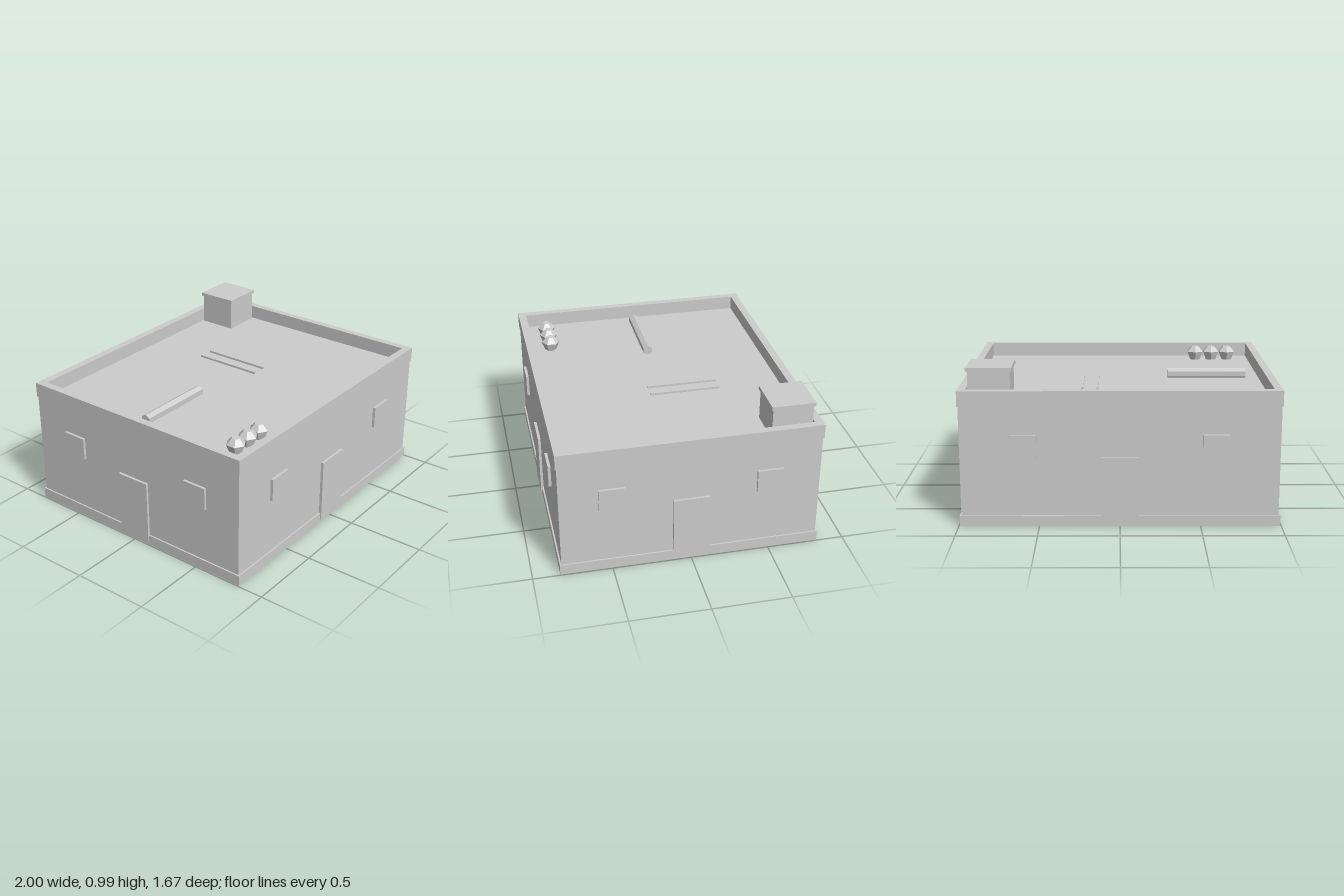
import * as THREE from 'three';

export function createModel() {
  const model = new THREE.Group();
  model.name = 'flatRoofHouse';
  const grey = new THREE.MeshStandardMaterial({ color: 0xcccccc, flatShading: true });
  grey.name = 'plainGrey';

  const add = (name, geometry) => {
    const mesh = new THREE.Mesh(geometry, grey);
    mesh.name = name;
    model.add(mesh);
    return mesh;
  };
  // Box given by its extents on each axis
  const box = (name, x0, x1, y0, y1, z0, z1) =>
    add(name, new THREE.BoxGeometry(x1 - x0, y1 - y0, z1 - z0))
      .position.set((x0 + x1) / 2, (y0 + y1) / 2, (z0 + z1) / 2);

  const roofY = 0.765;

  // Walls with flat roof, and the plinth around the foot
  box('walls', -0.983, 0.983, 0.01, roofY, -0.818, 0.818);
  box('plinth', -0.993, 0.993, 0, 0.068, -0.828, 0.828);

  // Parapet: a rectangular ring around the roof
  const rectangle = (path, w, d) =>
    path.moveTo(-w, -d).lineTo(w, -d).lineTo(w, d).lineTo(-w, d).closePath();
  const ring = new THREE.Shape();
  rectangle(ring, 0.988, 0.825);
  const opening = new THREE.Path();
  rectangle(opening, 0.938, 0.773);
  ring.holes.push(opening);
  const parapet = new THREE.ExtrudeGeometry(ring, { depth: 0.096, bevelEnabled: false });
  parapet.rotateX(-Math.PI / 2);
  add('parapet', parapet).position.y = 0.762;

  // Doors and windows, alike on opposite walls
  for (const s of [-1, 1]) {
    const z = [s * 0.81, s * 0.836].sort((a, b) => a - b);
    const x = [s * 0.97, s * 1.0].sort((a, b) => a - b);
    box(s > 0 ? 'frontDoor' : 'backDoor', -0.115, 0.115, 0.02, 0.445, ...z);
    box(s > 0 ? 'leftDoor' : 'rightDoor', ...x, 0.02, 0.445, -0.115, 0.115);
    for (const c of [-1, 1]) {
      box(s > 0 ? 'frontWindow' : 'backWindow', c * 0.59 - 0.081, c * 0.59 + 0.081, 0.438, 0.585, ...z);
      box(s > 0 ? 'leftWindow' : 'rightWindow', ...x, 0.438, 0.585, c * 0.494 - 0.082, c * 0.494 + 0.082);
    }
  }

  // Roof hut with overhanging cap
  box('roofHut', 0.667, 0.926, roofY - 0.01, 0.966, -0.765, -0.508);
  box('roofHutCap', 0.657, 0.936, 0.966, 0.99, -0.775, -0.498);

  // Two thin rails lying on the roof
  for (const x of [0.145, 0.243]) {
    box('roofRail', x - 0.007, x + 0.007, roofY - 0.002, roofY + 0.014, -0.365, 0.097);
  }

  // Six-sided rolled mat with a ridge on top
  const roll = new THREE.CylinderGeometry(0.035, 0.035, 0.525, 6);
  roll.rotateY(Math.PI / 6 * 3);
  roll.rotateZ(Math.PI / 2);
  add('rolledMat', roll).position.set(-0.587, roofY + 0.03, -0.004);

  // Row of six-sided jars
  const profile = [[0, 0], [0.04, 0], [0.0625, 0.058], [0.027, 0.095], [0, 0.095]]
    .map(([r, y]) => new THREE.Vector2(r, y));
  for (const x of [-0.785, -0.67, -0.555]) {
    add('jar', new THREE.LatheGeometry(profile, 6)).position.set(x, roofY, 0.645);
  }

  return model;
}
